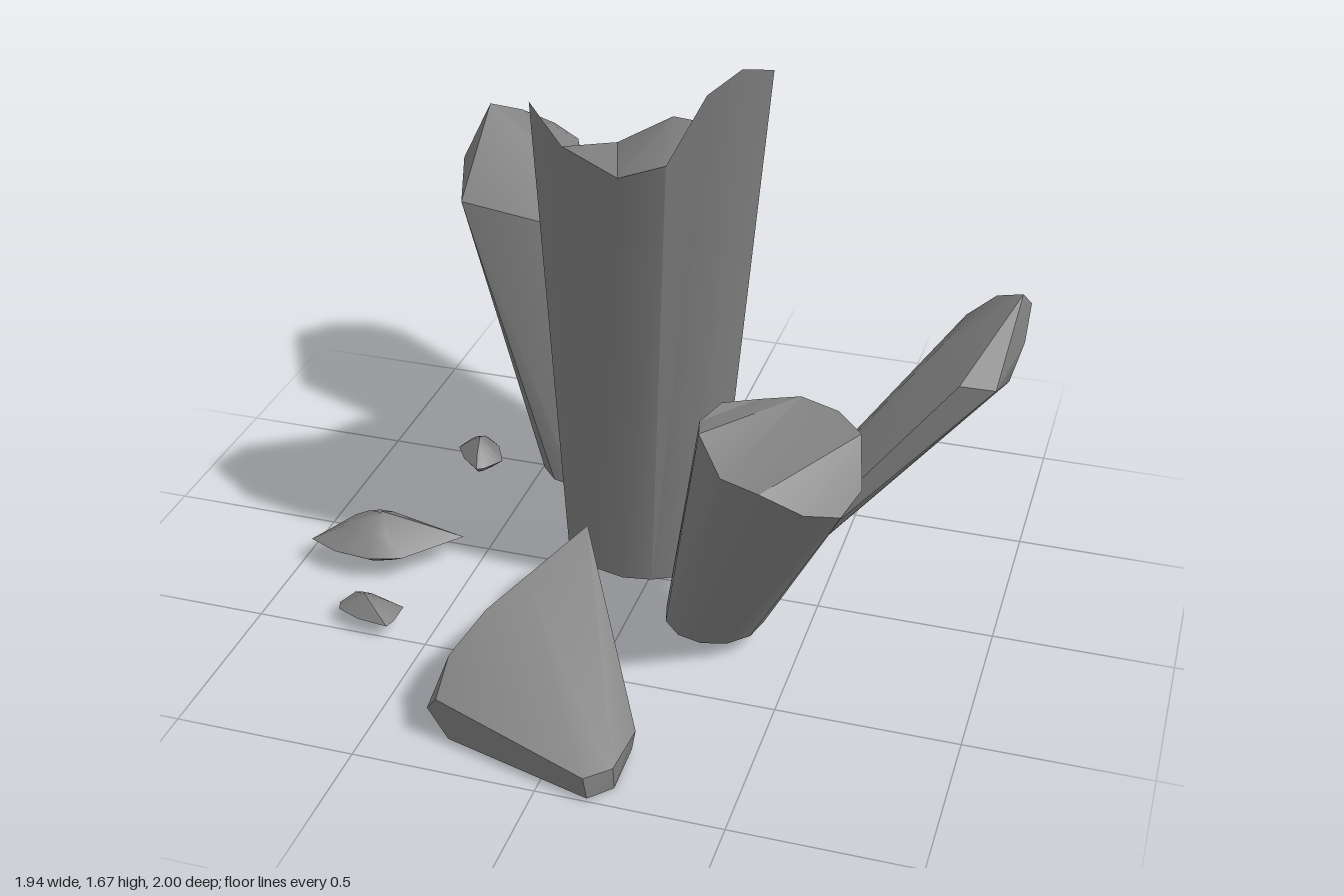
import * as THREE from 'three';
import { toCreasedNormals } from 'three/addons/utils/BufferGeometryUtils.js';
import { ConvexGeometry } from 'three/addons/geometries/ConvexGeometry.js';

const stone = new THREE.MeshStandardMaterial({ color: 0x808080 });
stone.name = 'grey stone';

const V = (p) => new THREE.Vector3(...p);

function part(name, geometry, crease = 0.55) {
  const mesh = new THREE.Mesh(toCreasedNormals(geometry, crease), stone);
  mesh.name = name;
  return mesh;
}

// Tapered column with a broken top. The rim runs right, front, left, back;
// the cap is a row of strips joining each front rim point to its back partner.
function brokenColumn(name, rim, base, scale) {
  const n = rim.length;
  const top = rim.map(V);
  const mid = top.reduce((s, p) => s.add(p), new THREE.Vector3()).divideScalar(n);
  const foot = V(base);
  const bottom = top.map((p) => new THREE.Vector3(
    foot.x + (p.x - mid.x) * scale, foot.y, foot.z + (p.z - mid.z) * scale));
  const tris = [];
  const quad = (a, b, c, d) => tris.push(a, b, c, a, c, d);
  for (let i = 0; i < n; i++) {
    const j = (i + 1) % n;
    quad(top[i], top[j], bottom[j], bottom[i]);
    tris.push(foot, bottom[i], bottom[j]);
  }
  for (let i = 0; i < n / 2; i++) {
    const a = top[i], b = top[(n - i) % n], c = top[n - i - 1], d = top[i + 1];
    if (i === 0) tris.push(a, c, d);
    else if (i === n / 2 - 1) tris.push(a, b, d);
    else quad(a, b, c, d);
  }
  return part(name, new THREE.BufferGeometry().setFromPoints(tris));
}

// Leaning shard: hull of a level oval foot and a faceted tip
function shard(name, [x, y, z], rx, rz, tip) {
  const pts = tip.map(V);
  for (let i = 0; i < 12; i++) {
    const t = (i / 12) * Math.PI * 2;
    pts.push(new THREE.Vector3(x + rx * Math.cos(t), y, z + rz * Math.sin(t)));
  }
  return part(name, new ConvexGeometry(pts));
}

// Small chip: outline at mid height, smaller rings above and below
function chip(name, outline, low, midY, high, peak) {
  const n = outline.length;
  const cx = outline.reduce((s, p) => s + p[0], 0) / n;
  const cz = outline.reduce((s, p) => s + p[1], 0) / n;
  const pts = [V([cx + peak, high, cz])];
  for (const [x, z] of outline) {
    pts.push(V([x, midY, z]));
    pts.push(V([cx + (x - cx) * 0.5, low, cz + (z - cz) * 0.55]));
    pts.push(V([cx + (x - cx) * 0.45, midY + (high - midY) * 0.55, cz + (z - cz) * 0.55]));
  }
  return part(name, new ConvexGeometry(pts), 0.7);
}

export function createModel() {
  const group = new THREE.Group();
  group.name = 'rockCluster';

  // Tall central column
  group.add(brokenColumn('centralColumn', [
    [0.33, 1.61, 0.0], [0.29, 1.67, 0.17], [0.22, 1.62, 0.24], [0.13, 1.44, 0.29],
    [0.01, 1.40, 0.31], [-0.15, 1.45, 0.27], [-0.28, 1.51, 0.15], [-0.32, 1.41, 0.0],
    [-0.28, 1.20, -0.18], [-0.19, 1.22, -0.31], [-0.04, 1.30, -0.35], [0.08, 1.30, -0.33],
    [0.20, 1.47, -0.26], [0.28, 1.54, -0.17],
  ], [-0.05, 0.04, -0.14], 0.69));

  // Shorter flat-topped column, its strips turned 30 degrees
  const heights = [0.64, 0.68, 0.74, 0.75, 0.82, 0.79, 0.79, 0.77, 0.78, 0.77, 0.76, 0.66];
  group.add(brokenColumn('shortColumn', heights.map((y, i) => {
    const t = ((i + 1) * Math.PI) / 6;
    return [0.47 + 0.215 * Math.cos(t), y, 0.4 + 0.22 * Math.sin(t)];
  }), [0.25, 0.055, 0.2], 0.65));

  // Slim shard leaning to the left side
  group.add(shard('slimShard', [0.35, 0.055, -0.23], 0.09, 0.105, [
    [0.82, 0.63, -0.26], [0.92, 0.62, -0.28], [0.94, 0.59, -0.40], [0.92, 0.60, -0.52],
    [0.85, 0.61, -0.57], [0.78, 0.69, -0.58], [0.75, 0.68, -0.42], [0.62, 0.48, -0.51],
    [0.95, 0.83, -0.48], [0.97, 0.78, -0.53], [0.97, 0.70, -0.44], [0.87, 0.79, -0.53],
  ]));

  // Thick shard leaning to the back right
  group.add(shard('thickShard', [-0.34, 0.06, -0.47], 0.14, 0.155, [
    [-0.84, 0.90, -0.77], [-0.82, 0.93, -0.87], [-0.75, 0.97, -0.96], [-0.62, 0.95, -1.0],
    [-0.54, 0.91, -0.99], [-0.77, 0.85, -0.56], [-0.77, 1.065, -0.83], [-0.68, 1.04, -0.87],
    [-0.61, 0.99, -0.78], [-0.46, 0.82, -0.54], [-0.45, 0.82, -0.78],
  ]));

  // Fallen wedge at the front
  group.add(part('fallenWedge', new ConvexGeometry([
    [-0.09, 0.34, 0.29], [-0.18, 0.30, 0.52], [-0.25, 0.275, 0.66], [-0.31, 0.20, 0.78],
    [-0.34, 0.09, 0.87], [-0.31, 0.13, 0.88], [0.13, 0.07, 1.0], [0.19, 0.07, 0.94],
    [0.20, 0.07, 0.78], [0.14, 0.01, 1.0], [0.19, 0.0, 0.93], [0.19, 0.01, 0.78],
    [-0.28, 0.01, 0.88], [-0.25, 0.02, 0.62], [-0.10, 0.04, 0.40],
  ].map(V)), 0.5));

  // Loose chips scattered around
  group.add(
    chip('largeChip', [[-0.97, 0.21], [-0.9, 0.05], [-0.83, 0.02], [-0.74, 0.02], [-0.55, 0.07],
      [-0.68, 0.23], [-0.77, 0.26], [-0.88, 0.25]], 0.035, 0.077, 0.165, 0.02),
    chip('backChip', [[-0.09, -0.75], [0.0, -0.85], [0.06, -0.89], [0.15, -0.9], [0.21, -0.87],
      [0.16, -0.78], [0.08, -0.73], [0.0, -0.72]], 0.03, 0.055, 0.115, 0),
    chip('roundChip', [[-0.76, -0.43], [-0.74, -0.49], [-0.69, -0.51], [-0.64, -0.47], [-0.6, -0.39],
      [-0.64, -0.33], [-0.66, -0.32], [-0.72, -0.37]], 0.025, 0.06, 0.12, 0),
    chip('frontChip', [[-0.78, 0.44], [-0.76, 0.38], [-0.7, 0.38], [-0.6, 0.41], [-0.6, 0.48],
      [-0.61, 0.51], [-0.7, 0.5], [-0.77, 0.47]], 0.025, 0.045, 0.095, -0.01),
  );
  return group;
}
